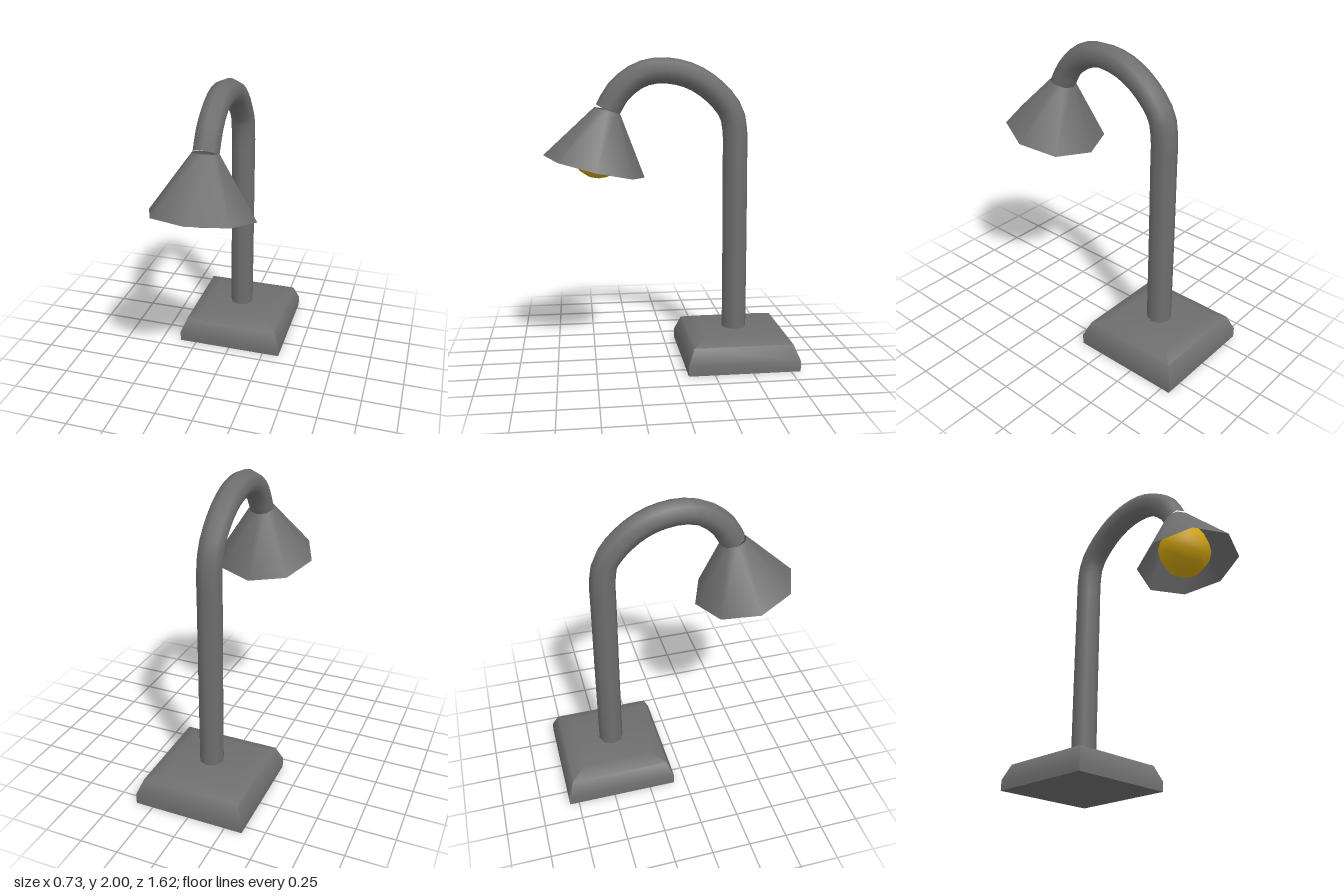
import * as THREE from 'three';
import { toCreasedNormals } from 'three/addons/utils/BufferGeometryUtils.js';

export function createModel() {
  const model = new THREE.Group();
  model.name = 'deskLamp';

  const metal = new THREE.MeshStandardMaterial({ color: 0x6e6e6e });
  metal.name = 'grey metal';
  const shadeMetal = metal.clone();
  shadeMetal.name = 'grey metal, two sided';
  shadeMetal.side = THREE.DoubleSide;
  const glow = new THREE.MeshStandardMaterial({ color: 0xcfa30f });
  glow.name = 'yellow bulb';

  const add = (name, geometry, material) => {
    const mesh = new THREE.Mesh(geometry, material);
    mesh.name = name;
    model.add(mesh);
    return mesh;
  };

  // Square base: half-width and height profile, turned with four sides
  const profile = [[0, 0], [0.366, 0], [0.366, 0.07], [0.325, 0.17], [0.23, 0.205], [0, 0.205]]
    .map(([half, y]) => new THREE.Vector2(half * Math.SQRT2, y));
  const baseGeometry = new THREE.LatheGeometry(profile, 4).rotateY(Math.PI / 4);
  add('base', toCreasedNormals(baseGeometry, 1.0), metal).position.z = -0.445;

  // Upright post bending over into the neck, as [y, z] points
  const path = new THREE.CatmullRomCurve3([
    [0.15, -0.44], [0.8, -0.437], [1.35, -0.432], [1.51, -0.43], [1.65, -0.402],
    [1.79, -0.285], [1.885, -0.13], [1.918, 0.05], [1.89, 0.19], [1.79, 0.325], [1.665, 0.4],
  ].map(([y, z]) => new THREE.Vector3(0, y, z)));
  add('neck', new THREE.TubeGeometry(path, 36, 0.082, 8), metal);

  // Eight-sided open shade, tilted forward
  const shade = add('shade', new THREE.CylinderGeometry(0.083, 0.333, 0.37, 8, 1, true), shadeMetal);
  shade.position.set(0, 1.49, 0.444);
  shade.rotation.x = -0.235;

  // Bulb
  add('bulb', new THREE.SphereGeometry(0.172, 8, 8), glow).position.set(0, 1.405, 0.46);

  return model;
}
